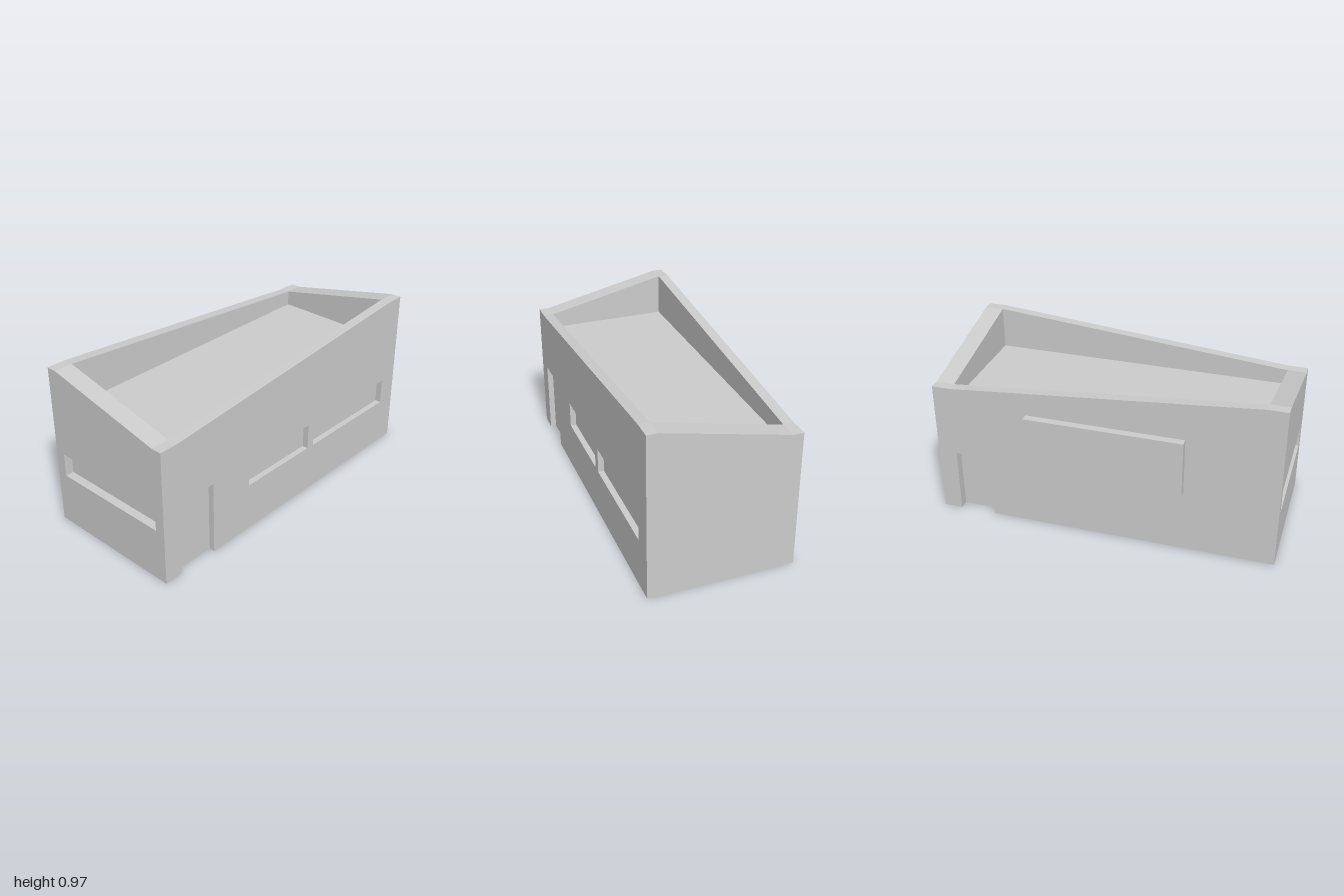
import * as THREE from 'three';

const material = new THREE.MeshStandardMaterial({ color: 0xcccccc, flatShading: true });
const X0 = -0.4, X1 = 0.44, INX0 = -0.34, INX1 = 0.38, INZ = 0.89;
const HIGH = 0.97, LOW = 0.81, ROOF = 0.72;

function mesh(name, geometry) {
  const m = new THREE.Mesh(geometry, material);
  m.name = name;
  return m;
}

// Flat faces from four corners each, counter-clockwise seen from outside
function quads(list) {
  const pos = list.flatMap(([a, b, c, d]) => [a, b, c, a, c, d]).flat();
  const g = new THREE.BufferGeometry();
  g.setAttribute('position', new THREE.Float32BufferAttribute(pos, 3));
  g.computeVertexNormals();
  return g;
}

const toPoints = (list) => list.map(([x, y]) => new THREE.Vector2(x, y));

// Wall in its own frame: u to the right, y up, outside at z = 0.
// top: four [u, height] points from left to right; openings: recesses that do not go through.
function wall(name, top, thickness, ownsCorners, openings = []) {
  const group = new THREE.Group();
  group.name = name;
  const doors = openings.filter((o) => o.v0 === 0);
  const outline = [[top[0][0], 0]];
  for (const { u0, u1, v1 } of doors) outline.push([u0, 0], [u0, v1], [u1, v1], [u1, 0]);
  outline.push([top[3][0], 0], ...[...top].reverse());
  const shape = new THREE.Shape(toPoints(outline));

  for (const { label, u0, u1, v0, v1, depth } of openings) {
    const ring = [[u0, v0], [u1, v0], [u1, v1], [u0, v1]];
    if (v0 > 0) shape.holes.push(new THREE.Path(toPoints(ring)));
    const faces = [ring.map(([u, v]) => [u, v, -depth])];
    ring.forEach((a, i) => {
      if (i === 0 && v0 === 0) return; // doors have no sill
      const b = ring[(i + 1) % 4];
      faces.push([[...a, 0], [...b, 0], [...b, -depth], [...a, -depth]]);
    });
    group.add(mesh(label, quads(faces)));
  }
  group.add(mesh(name + 'Face', new THREE.ShapeGeometry(shape)));

  // Sloping rim and the inner side of the parapet
  const rim = [];
  for (const i of ownsCorners ? [0, 1, 2] : [1]) {
    const a = top[i], b = top[i + 1];
    rim.push([[...a, 0], [...b, 0], [...b, -thickness], [...a, -thickness]]);
  }
  const [, l, r] = top;
  rim.push([[r[0], ROOF], [l[0], ROOF], l, r].map((p) => [...p, -thickness]));
  group.add(mesh(name + 'Parapet', quads(rim)));
  return group;
}

export function createModel() {
  const model = new THREE.Group();
  model.name = 'building';

  const front = wall('frontWall',
    [[X0, HIGH], [INX0, HIGH], [INX1, LOW], [X1, LOW]], 1 - INZ, true,
    [{ label: 'frontWindow', u0: -0.34, u1: 0.38, v0: 0.315, v1: 0.455, depth: 0.05 }]);
  front.position.z = 1;

  const back = wall('backWall',
    [[-X1, HIGH], [-INX1, HIGH], [-INX0, LOW], [-X0, LOW]], 1 - INZ, true);
  back.rotation.y = Math.PI;
  back.position.z = -1;

  // Side walls: u runs along -z on the right-hand side, along +z on the other
  const sideTop = [[-1, LOW], [-INZ, LOW], [INZ, HIGH], [1, HIGH]];
  const right = wall('plusXWall', sideTop, X1 - INX1, false, [
    { label: 'plusXDoor', u0: -0.89, u1: -0.64, v0: 0, v1: 0.445, depth: 0.035 },
    { label: 'sideWindowFront', u0: -0.36, u1: 0.15, v0: 0.29, v1: 0.445, depth: 0.035 },
    { label: 'sideWindowBack', u0: 0.2, u1: 0.88, v0: 0.287, v1: 0.44, depth: 0.035 },
  ]);
  right.rotation.y = Math.PI / 2;
  right.position.x = X1;

  const left = wall('minusXWall', sideTop, INX0 - X0, false, [
    { label: 'minusXDoor', u0: -0.89, u1: -0.675, v0: 0, v1: 0.385, depth: 0.055 },
  ]);
  left.rotation.y = -Math.PI / 2;
  left.position.x = X0;

  // Raised panel on the -x wall
  const panel = mesh('wallPanel', new THREE.BoxGeometry(0.045, 0.335, 0.91));
  panel.position.set(X0 - 0.0225, 0.5475, 0.015);

  // Sunken flat roof
  const roof = mesh('roof', new THREE.PlaneGeometry(INX1 - INX0, 2 * INZ).rotateX(-Math.PI / 2));
  roof.position.set((INX0 + INX1) / 2, ROOF, 0);

  // Underside, notched at the doors
  const plan = new THREE.Shape(toPoints([
    [X0, -1], [X1, -1], [X1, 0.64], [X1 - 0.035, 0.64], [X1 - 0.035, 0.89], [X1, 0.89], [X1, 1],
    [X0, 1], [X0, -0.675], [X0 + 0.055, -0.675], [X0 + 0.055, -0.89], [X0, -0.89],
  ]));
  const base = mesh('base', new THREE.ShapeGeometry(plan).rotateX(Math.PI / 2));

  model.add(front, back, right, left, panel, roof, base);
  return model;
}
